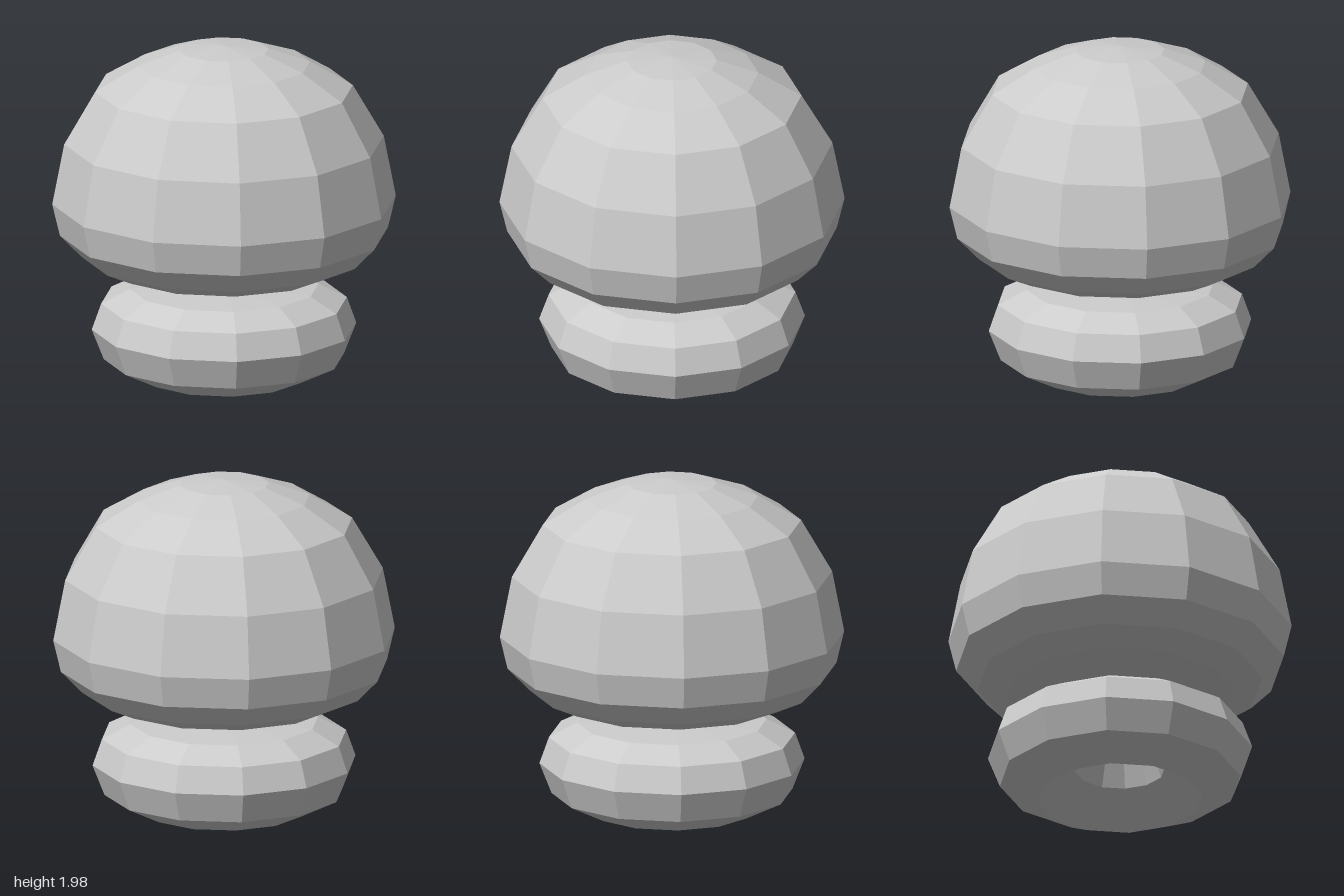
import * as THREE from 'three';

const SIDES = 12;

// Faceted turned part from [radius, height] pairs
function turned(name, profile) {
  const points = profile.map(([r, y]) => new THREE.Vector2(r, y));
  const material = new THREE.MeshStandardMaterial({ color: 0xcccccc, flatShading: true });
  const mesh = new THREE.Mesh(new THREE.LatheGeometry(points, SIDES), material);
  mesh.name = name;
  return mesh;
}

export function createModel() {
  const group = new THREE.Group();
  group.name = 'domedKnob';

  // Large dome with a shallow underside
  group.add(turned('dome', [
    [0, 0.56], [0.13, 0.565], [0.665, 0.655], [0.83, 0.73], [0.955, 0.86],
    [1, 1.05], [0.93, 1.41], [0.75, 1.72], [0.5, 1.87], [0.26, 1.955], [0, 1.98],
  ]));

  // Ring-shaped foot: hollow below, rounded outside, narrowing to the neck
  group.add(turned('foot', [
    [0.13, 0.56], [0.26, 0.18], [0.48, 0], [0.7, 0.11], [0.77, 0.29],
    [0.715, 0.445], [0.55, 0.53], [0.13, 0.565],
  ]));

  return group;
}
